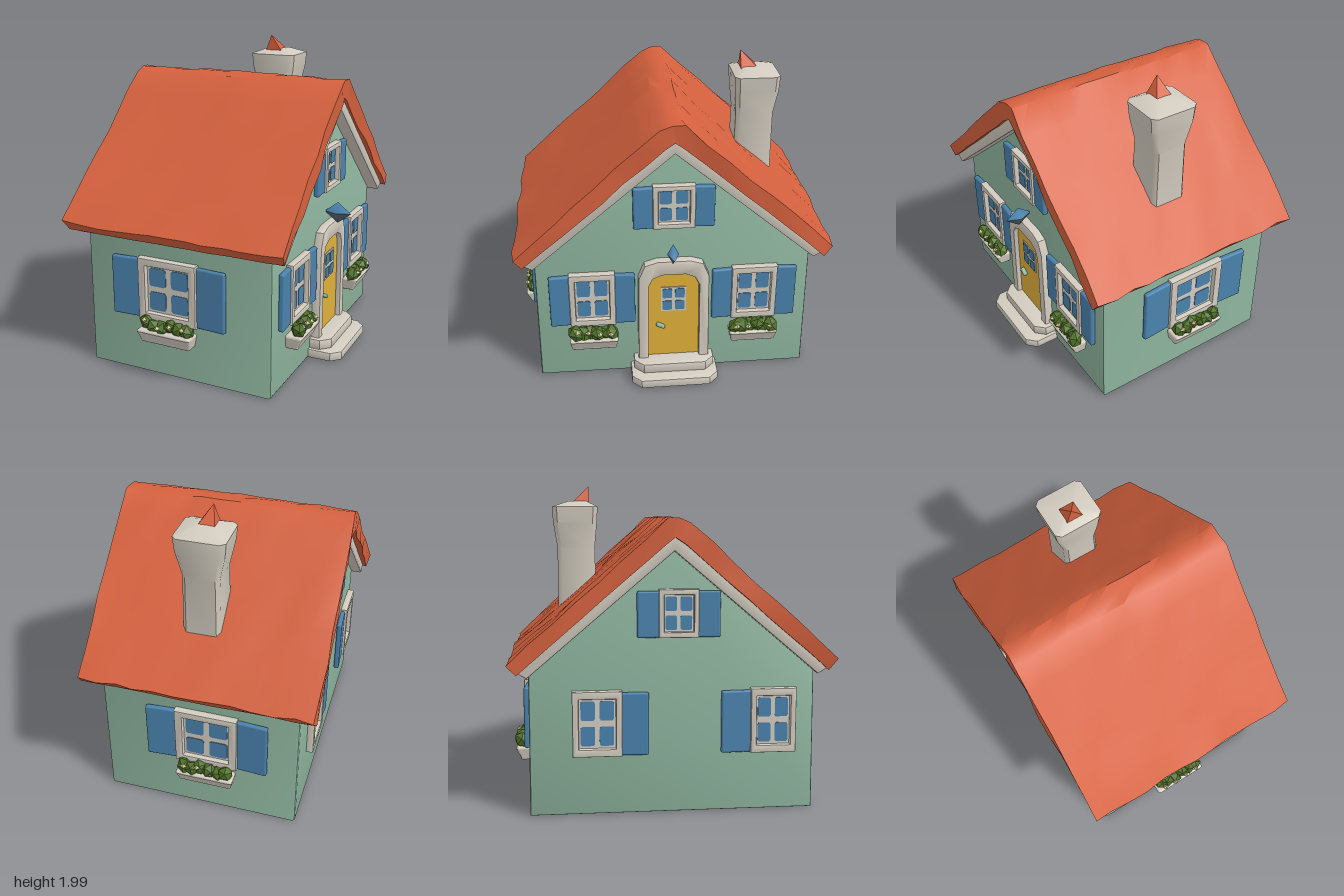
import * as THREE from 'three';
import { toCreasedNormals } from 'three/addons/utils/BufferGeometryUtils.js';
import { RoundedBoxGeometry } from 'three/addons/geometries/RoundedBoxGeometry.js';

const mat = (name, color, extra = {}) => Object.assign(new THREE.MeshStandardMaterial({ color, ...extra }), { name });
const M = {
  wall: mat('sage wall', 0x8fb59f),
  roof: mat('terracotta roof', 0xd5613e),
  trim: mat('cream trim', 0xd3ccc0),
  blue: mat('blue paint', 0x4a82ad),
  door: mat('yellow door', 0xe0b03a),
  leaf: mat('leaf green', 0x4f7028, { flatShading: true }),
  flower: mat('flower cream', 0xd2c68c, { flatShading: true }),
  handle: mat('pale teal', 0x86b3a2),
  metal: mat('grey metal', 0x5c6a72),
};

let seed = 7;
const rnd = () => ((seed = (seed * 16807) % 2147483647) / 2147483647) * 2 - 1;

function add(parent, name, geo, material, x = 0, y = 0, z = 0) {
  const m = new THREE.Mesh(geo, material);
  m.name = name;
  m.position.set(x, y, z);
  parent.add(m);
  return m;
}
const rbox = (w, h, d, r = 0.012) => new RoundedBoxGeometry(w, h, d, 2, r);
const outline = pts => new THREE.Shape(pts.map(p => new THREE.Vector2(...p)));

function slab(pts, depth, hole, bevel = 0.01) {
  const s = outline(pts);
  if (hole) s.holes.push(outline(hole));
  const g = new THREE.ExtrudeGeometry(s, {
    depth: depth - bevel, bevelEnabled: bevel > 0, bevelSize: bevel, bevelOffset: -bevel,
    bevelThickness: bevel, bevelSegments: 2,
  });
  return toCreasedNormals(g, 0.7);
}
// Outline given in (z, y), extruded along x from x0 to x1
function slabX(pts, x0, x1, bevel) {
  return slab(pts, x1 - x0 - bevel, null, bevel).rotateY(-Math.PI / 2).translate(x1 - bevel, 0, 0);
}
const rect = (w, h) => [[-w / 2, -h / 2], [w / 2, -h / 2], [w / 2, h / 2], [-w / 2, h / 2]];

// Four panes on a pale backing plate
function panes(parent, w, h, z) {
  add(parent, 'glazingBars', new THREE.BoxGeometry(w, h, 0.008), M.trim, 0, 0, z);
  for (const sx of [-1, 1]) for (const sy of [-1, 1])
    add(parent, 'pane', slab([[-0.4, -0.5], [0.4, -0.5], [0.5, -0.4], [0.5, 0.4], [0.4, 0.5], [-0.4, 0.5], [-0.5, 0.4], [-0.5, -0.4]]
      .map(([a, b]) => [a * w * 0.38, b * h * 0.38]), 0.006, null, 0), M.blue, sx * w * 0.25, sy * h * 0.25, z + 0.002);
}

// Planter with angular foliage and a few blossoms; y = 0 is the planter's base
function planter(parent, w, y) {
  const g = new THREE.Group();
  g.name = 'flowerBox';
  g.position.y = y;
  parent.add(g);
  const box = rbox(w, 0.09, 0.11, 0.015), p = box.attributes.position;
  for (let i = 0; i < p.count; i++) if (p.getY(i) < 0) {
    p.setX(i, p.getX(i) * 0.93);
    p.setZ(i, (p.getZ(i) + 0.055) * 0.75 - 0.055);
  }
  box.computeVertexNormals();
  add(g, 'planter', box, M.trim, 0, 0.045, 0.05);
  for (let i = 0; i < 6; i++) {
    const x = ((i + 0.5) / 6 - 0.5) * w * 0.88;
    const leaf = add(g, 'foliage', new THREE.IcosahedronGeometry(0.05, 0), M.leaf, x, 0.115 + rnd() * 0.012, 0.055 + rnd() * 0.015);
    leaf.scale.set(0.95, 1.25, 1);
    leaf.rotation.set(rnd(), rnd(), rnd());
  }
  for (let i = 0; i < 4; i++)
    add(g, 'blossom', new THREE.OctahedronGeometry(0.02, 0), M.flower, (i / 3 - 0.5) * w * 0.7, 0.135 + rnd() * 0.025, 0.095);
}

// Window facing +z, centred on its frame; shutters lists the sides that have one
function windowUnit(parent, name, { w, h, sw, shutters = [-1, 1], box = 0, boxDrop = 0, pos, turn }) {
  const g = new THREE.Group();
  g.name = name;
  g.position.set(...pos);
  g.rotation.y = turn;
  parent.add(g);
  add(g, 'windowFrame', slab(rect(w, h), 0.045, rect(w * 0.74, h * 0.76)), M.trim);
  panes(g, w * 0.76, h * 0.78, 0.008);
  for (const s of shutters) {
    const sh = add(g, 'shutter', rbox(sw, h * 0.96, 0.035), M.blue, s * (w / 2 + sw / 2 - 0.01), -0.005, 0.016);
    sh.rotation.y = -s * 0.06;
  }
  if (box) planter(g, box, boxDrop);
}

// Uneven roof: matching outer and under profiles swept along x
function roofGeometry(x0, x1) {
  const outerKey = [[0.985, 0.95], [0.09, 1.77], [0.02, 1.79], [-0.05, 1.785], [-0.985, 0.95]];
  const underKey = [[0.93, 0.885], [0.06, 1.64], [0.0, 1.68], [-0.04, 1.65], [-0.93, 0.885]];
  const steps = [7, 1, 1, 7];
  const sample = key => {
    const out = [key[0]];
    steps.forEach((n, k) => {
      for (let j = 1; j <= n; j++) out.push([0, 1].map(c => key[k][c] + (key[k + 1][c] - key[k][c]) * j / n));
    });
    return out;
  };
  const loop = [...sample(outerKey), ...sample(underKey).reverse()];
  const L = loop.length, half = L / 2, S = 12, pos = [], idx = [];
  for (let s = 0; s <= S; s++) loop.forEach(([z, y], k) => {
    const j = k < half ? 0.009 : 0.003;
    const end = s === 0 || s === S;
    pos.push(x0 + (x1 - x0) * s / S + rnd() * (end ? 0.01 : 0.02), y + rnd() * j, z + rnd() * j);
  });
  for (let s = 0; s < S; s++) for (let k = 0; k < L; k++) {
    const a = s * L + k, b = s * L + (k + 1) % L, c = b + L, d = a + L;
    idx.push(a, d, c, a, c, b);
  }
  for (let i = 0; i < half - 1; i++) {
    const o0 = i, o1 = i + 1, u0 = L - 1 - i, u1 = L - 2 - i, e = S * L;
    idx.push(o0, o1, u1, o0, u1, u0, e + o0, e + u0, e + u1, e + o0, e + u1, e + o1);
  }
  const g = new THREE.BufferGeometry();
  g.setAttribute('position', new THREE.Float32BufferAttribute(pos, 3));
  g.setIndex(idx);
  return toCreasedNormals(g, 0.7);
}

// Chimney: squared rings (y, half width x, half depth z, centre z) with a low peaked top
function chimneyGeometry() {
  const rings = [[1.1, 0.12, 0.125, -0.565], [1.6, 0.115, 0.12, -0.57], [1.76, 0.15, 0.14, -0.575],
    [1.86, 0.16, 0.145, -0.575], [1.895, 0.07, 0.06, -0.56], [1.9, 0.001, 0.001, -0.55]];
  const pos = [], idx = [];
  const corner = [[1, 0.8], [0.8, 1], [-0.8, 1], [-1, 0.8], [-1, -0.8], [-0.8, -1], [0.8, -1], [1, -0.8]];
  rings.forEach(([y, hx, hz, cz]) => corner.forEach(([a, b]) => pos.push(-0.015 + a * hx, y, cz + b * hz)));
  for (let r = 0; r < rings.length - 1; r++) for (let k = 0; k < 8; k++) {
    const a = r * 8 + k, b = r * 8 + (k + 1) % 8;
    idx.push(a, a + 8, b + 8, a, b + 8, b);
  }
  const g = new THREE.BufferGeometry();
  g.setAttribute('position', new THREE.Float32BufferAttribute(pos, 3));
  g.setIndex(idx);
  return toCreasedNormals(g, 0.8);
}

export function createModel() {
  const house = new THREE.Group();
  house.name = 'cottage';
  const XR = 0.58, XL = -0.68, Q = Math.PI / 2;

  // Walls with gable ends, roof and the cream lining under it
  add(house, 'walls', slabX([[0.87, 0], [0.865, 0.89], [0, 1.64], [-0.865, 0.89], [-0.87, 0]], XL, XR, 0.018), M.wall);
  add(house, 'roof', roofGeometry(-0.785, 0.685), M.roof);
  add(house, 'eavesLining', slabX([[0.94, 0.9], [0, 1.7], [-0.94, 0.9], [-0.87, 0.86], [0, 1.6], [0.87, 0.86]], -0.75, 0.66, 0.008), M.trim);

  // Chimney and its pointed pot
  add(house, 'chimney', chimneyGeometry(), M.trim);
  const pot = new THREE.ConeGeometry(0.09, 0.12, 4, 1).rotateY(Math.PI / 4), pp = pot.attributes.position;
  for (let i = 0; i < pp.count; i++) if (pp.getY(i) > 0) pp.setXYZ(i, -0.02, 0.06, 0.06);
  pot.computeVertexNormals();
  add(house, 'chimneyPot', toCreasedNormals(pot, 0.3), M.roof, -0.02, 1.93, -0.545);

  // Windows on the two long walls
  for (const s of [1, -1])
    windowUnit(house, s > 0 ? 'frontWindow' : 'backWindow', {
      w: 0.4, h: 0.4, sw: 0.2, box: 0.37, boxDrop: -0.335, pos: [-0.1, 0.57, s * 0.868], turn: s > 0 ? 0 : Math.PI,
    });

  // Windows on the door gable
  for (const s of [1, -1])
    windowUnit(house, 'doorSideWindow', {
      w: 0.29, h: 0.38, sw: 0.135, box: 0.31, boxDrop: -0.35, pos: [XR, 0.59, s * 0.515], turn: Q,
    });
  windowUnit(house, 'atticWindow', { w: 0.26, h: 0.29, sw: 0.13, pos: [XR, 1.23, 0], turn: Q });

  // Windows on the far gable
  windowUnit(house, 'farWindow', { w: 0.3, h: 0.4, sw: 0.17, shutters: [1], pos: [XL, 0.57, -0.46], turn: -Q });
  windowUnit(house, 'farWindow', { w: 0.28, h: 0.4, sw: 0.19, shutters: [-1], pos: [XL, 0.57, 0.61], turn: -Q });
  windowUnit(house, 'farAtticWindow', { w: 0.24, h: 0.29, sw: 0.14, pos: [XL, 1.23, 0.03], turn: -Q });

  // Door with arched surround
  const door = new THREE.Group();
  door.name = 'doorway';
  door.position.x = XR;
  door.rotation.y = Q;
  house.add(door);
  const arch = (w, y0, y1, y2) => [[-w, y0], [w, y0], [w * 0.97, y1], [w * 0.8, y2 - 0.025], [w * 0.45, y2], [-w * 0.45, y2], [-w * 0.8, y2 - 0.025], [-w * 0.97, y1]];
  add(door, 'doorFrame', slab(arch(0.23, 0.1, 0.74, 0.86), 0.055, arch(0.165, 0.12, 0.68, 0.76)), M.trim);
  add(door, 'doorLeaf', slab(arch(0.17, 0.1, 0.69, 0.77), 0.022, null, 0), M.door);
  const glass = new THREE.Group();
  glass.name = 'doorWindow';
  glass.position.set(0.0, 0.565, 0.02);
  door.add(glass);
  panes(glass, 0.16, 0.18, 0.004);
  add(door, 'doorHandle', rbox(0.06, 0.025, 0.03, 0.01), M.handle, -0.085, 0.37, 0.035).rotation.z = -0.5;

  // Steps with clipped corners
  const step = (d, z, c) => [[XR - 0.02, z], [XR + d - c, z], [XR + d, z - c], [XR + d, c - z], [XR + d - c, -z], [XR - 0.02, -z]];
  [[0.21, 0.28, 0.005, 0.06], [0.13, 0.26, 0.06, 0.07]].forEach(([d, z, y, h]) =>
    add(house, 'doorStep', slab(step(d, z, 0.06), h - 0.01).rotateX(-Q), M.trim, 0, y + 0.01, 0));

  // Pointed lantern over the door
  const top = add(house, 'lanternTop', toCreasedNormals(new THREE.ConeGeometry(1, 0.07, 4), 0.3), M.blue, 0.66, 0.965, 0.01);
  const low = add(house, 'lanternBase', toCreasedNormals(new THREE.ConeGeometry(1, 0.07, 4).rotateX(Math.PI), 0.3), M.metal, 0.66, 0.895, 0.01);
  for (const m of [top, low]) m.scale.set(0.09, 1, 0.037);

  return house;
}
